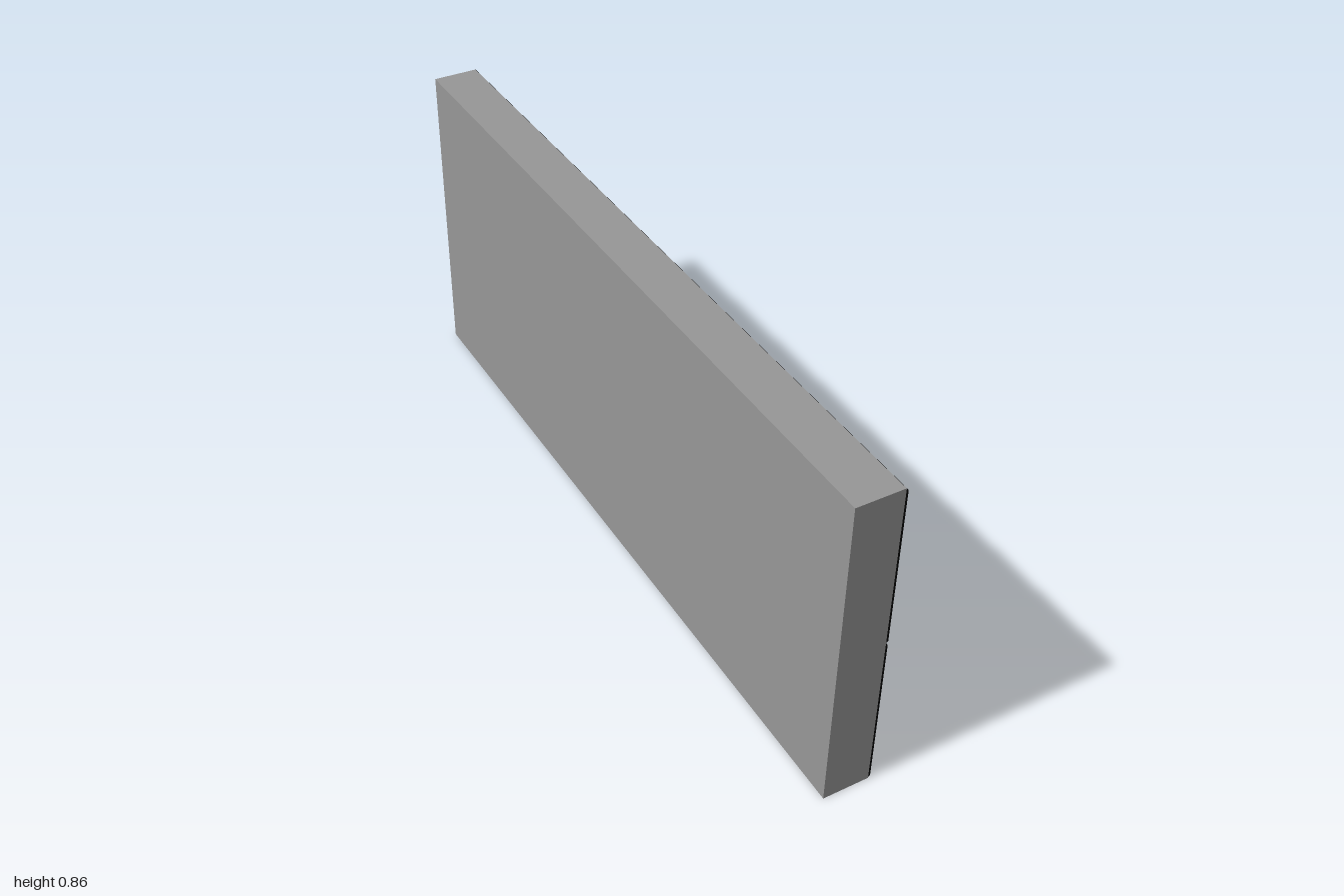
import * as THREE from 'three';

const grey = new THREE.MeshStandardMaterial({ color: 0x979797 });
const rivetGrey = new THREE.MeshStandardMaterial({ color: 0x707070 });
const black = new THREE.MeshStandardMaterial({ color: 0x000000 });

const HEIGHT = 0.857, BACK = -0.067, FACE = 0.053, PANEL_FACE = 0.058;
const PANEL_H = 0.417, PANEL_W = 0.485, GAP = 0.011;
const INSET_Y = 0.017, INSET_Z = 0.0195;

function add(parent, name, geometry, material, x, y, z) {
  const mesh = new THREE.Mesh(geometry, material);
  mesh.name = name;
  mesh.position.set(x, y, z);
  parent.add(mesh);
}

export function createModel() {
  const model = new THREE.Group();
  model.name = 'panelledWall';

  // Solid wall slab
  add(model, 'slab', new THREE.BoxGeometry(FACE - BACK, HEIGHT, 2), grey,
    (FACE + BACK) / 2, HEIGHT / 2, 0);

  // Black backing seen in the joints and along the uncovered end
  add(model, 'backing', new THREE.BoxGeometry(0.001, HEIGHT, 2), black,
    FACE, HEIGHT / 2, 0);

  // Two rows of four cladding panels: grey face, black edges, a rivet in every corner
  const panelGeometry = new THREE.BoxGeometry(PANEL_FACE - FACE, PANEL_H, PANEL_W);
  const panelMaterials = [grey, black, black, black, black, black];
  const rivetGeometry = new THREE.SphereGeometry(0.009, 12, 8);
  for (let row = 0; row < 2; row++) {
    for (let col = 0; col < 4; col++) {
      const panel = new THREE.Group();
      panel.name = 'claddingPanel';
      panel.position.set(0,
        HEIGHT / 2 + (row - 0.5) * (PANEL_H + GAP),
        1 - PANEL_W / 2 - col * (PANEL_W + GAP));
      add(panel, 'sheet', panelGeometry, panelMaterials, (FACE + PANEL_FACE) / 2, 0, 0);
      for (const sy of [-1, 1]) {
        for (const sz of [-1, 1]) {
          add(panel, 'rivet', rivetGeometry, rivetGrey, PANEL_FACE,
            sy * (PANEL_H / 2 - INSET_Y), sz * (PANEL_W / 2 - INSET_Z));
        }
      }
      model.add(panel);
    }
  }
  return model;
}
